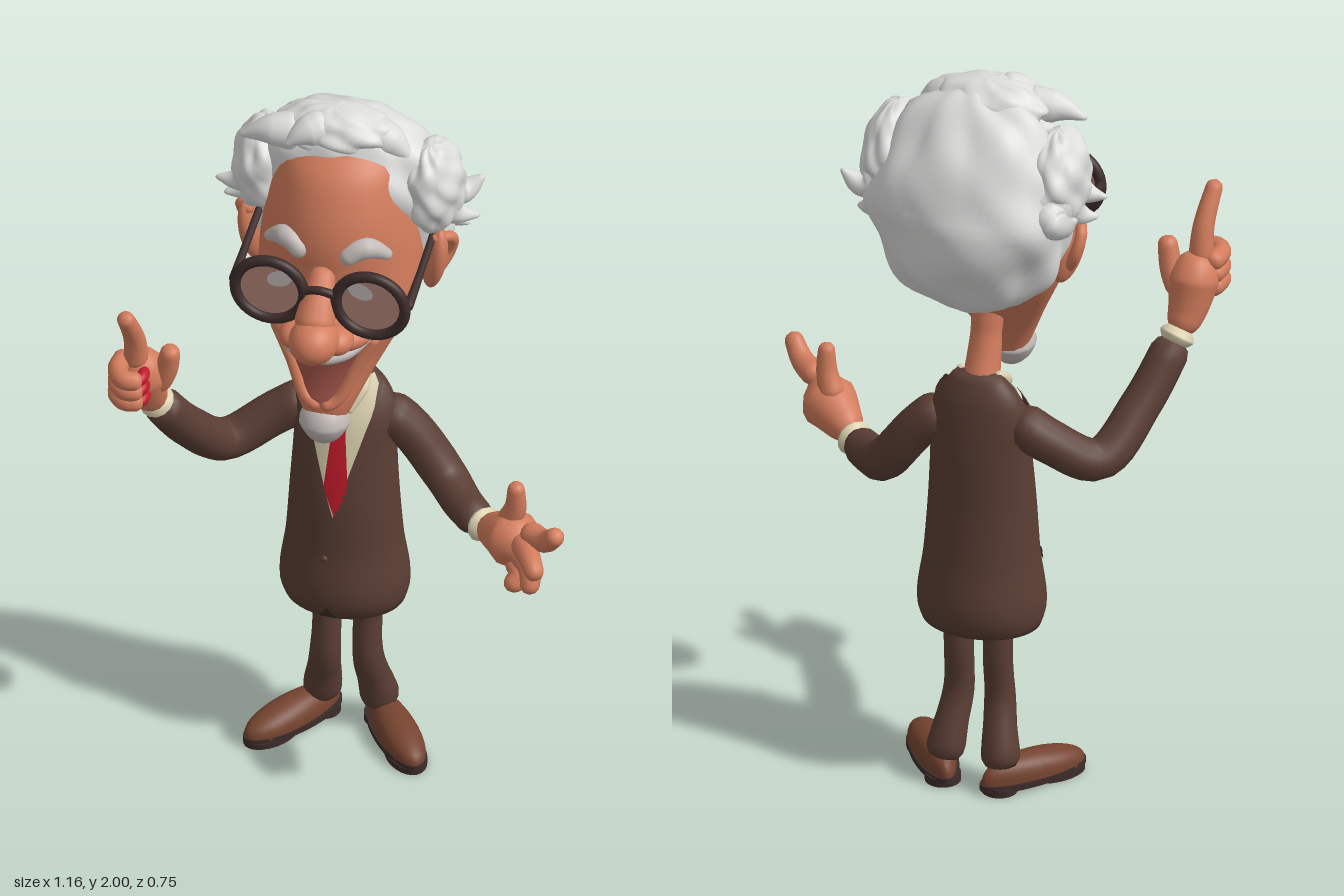
import * as THREE from 'three';
import { mergeVertices } from 'three/addons/utils/BufferGeometryUtils.js';

const mat = (name, color, side = THREE.FrontSide) => {
  const m = new THREE.MeshStandardMaterial({ color, side });
  m.name = name;
  return m;
};

export function createModel() {
  const model = new THREE.Group();
  model.name = 'oldGentleman';
  const D = THREE.DoubleSide;
  const suit = mat('brownSuit', 0x5a3e34, D), skin = mat('skin', 0xd27c5c), hair = mat('whiteHair', 0xdcdcdb, D);
  const leather = mat('shoeLeather', 0x764430), dark = mat('darkFrame', 0x3c2c2a), cream = mat('creamShirt', 0xd9cfae, D);
  const red = mat('red', 0xc01a2a, D), mouthRed = mat('mouthInside', 0xa4564a, D), lens = mat('tintedLens', 0xae8173, D);
  const whisker = mat('greyWhiskers', 0xc2bab7, D);
  const CX = -0.07; // body centre line

  const add = (name, geo, material, parent = model) => {
    const m = new THREE.Mesh(geo, material);
    m.name = name;
    parent.add(m);
    return m;
  };
  // surface from a rule fn(u, v) -> [x, y, z]; faces u cross v
  const grid = (nu, nv, fn) => {
    const g = new THREE.PlaneGeometry(1, 1, nu, nv), p = g.attributes.position;
    for (let i = 0; i < p.count; i++) p.setXYZ(i, ...fn(p.getX(i) + 0.5, p.getY(i) + 0.5));
    g.deleteAttribute('uv');
    g.deleteAttribute('normal');
    const merged = mergeVertices(g, 1e-5);
    merged.computeVertexNormals();
    return merged;
  };
  // rows of [y, zFront, zBack, halfWidth] become a smooth section lookup
  const profile = (rows) => {
    const it = new THREE.CubicInterpolant(rows.map(r => r[0]), rows.flatMap(r => r.slice(1)), 3, new Float32Array(3));
    return (y) => {
      const [f, b, w] = it.evaluate(y);
      return { zc: (f + b) / 2, rz: (f - b) / 2, w };
    };
  };
  const loft = (name, prof, y0, y1, material) => add(name, grid(40, 40, (u, v) => {
    const y = y0 + (y1 - y0) * THREE.MathUtils.clamp((v * 40 - 1) / 38, 0, 1);
    const s = prof(y), k = v < 0.001 || v > 0.999 ? 0 : 1, a = (u - 0.5) * 2 * Math.PI;
    return [CX + k * s.w * Math.sin(a), y, s.zc + k * s.rz * Math.cos(a)];
  }), material);
  // thin piece lying on the front of a lofted body
  const patch = (name, prof, y0, y1, left, right, off, material) => add(name, grid(16, 16, (u, v) => {
    const y = y0 + (y1 - y0) * v, s = prof(y);
    const dx = THREE.MathUtils.clamp(left(y) + (right(y) - left(y)) * u, -s.w * 0.97, s.w * 0.97);
    const a = Math.asin(dx / s.w);
    return [CX + dx + off * Math.sin(a), y, s.zc + (s.rz + off) * Math.cos(a)];
  }), material);
  // round-ended limb with changing thickness
  const limb = (name, pts, radii, material, parent) => {
    const curve = new THREE.CatmullRomCurve3(pts.map(p => new THREE.Vector3(...p)));
    const n = 28, fr = curve.computeFrenetFrames(n), len = curve.getLength();
    return add(name, grid(14, n, (u, v) => {
      const i = Math.round(v * n), c = curve.getPointAt(i / n), a = u * 2 * Math.PI;
      const f = v * (radii.length - 1), k = Math.min(Math.floor(f), radii.length - 2);
      let r = THREE.MathUtils.lerp(radii[k], radii[k + 1], f - k);
      const d = Math.min(v, 1 - v) * len;
      if (d < r) r *= Math.sqrt(Math.max(0, 1 - (1 - d / r) ** 2));
      c.addScaledVector(fr.normals[i], r * Math.cos(a)).addScaledVector(fr.binormals[i], r * Math.sin(a));
      return [c.x, c.y, c.z];
    }), material, parent);
  };
  const ball = (name, c, r, material, parent) => {
    const m = add(name, new THREE.SphereGeometry(1, 28, 20), material, parent);
    m.position.set(...c);
    m.scale.set(...r);
    return m;
  };

  // jacket, shirt and tie
  const torso = profile([[0.45, 0.015, -0.235, 0.155], [0.49, 0.035, -0.252, 0.166], [0.65, 0.022, -0.235, 0.15],
    [0.8, 0.01, -0.22, 0.14], [0.95, -0.015, -0.212, 0.132], [1.05, -0.04, -0.2, 0.13], [1.11, -0.07, -0.188, 0.105], [1.165, -0.095, -0.165, 0.06]]);
  loft('jacket', torso, 0.45, 1.165, suit);
  const vee = y => 0.085 * Math.min(1, Math.max(0, (y - 0.77) / 0.3));
  patch('shirtFront', torso, 0.77, 1.15, y => -vee(y), vee, 0.004, cream);
  const tieWidth = y => y > 1.03 ? 0.019 : y < 0.86 ? (y - 0.775) * 0.34 : 0.029 - (y - 0.86) * 0.08;
  patch('tie', torso, 0.78, 1.07, y => -tieWidth(y) + 0.006, y => tieWidth(y) + 0.006, 0.011, red);
  for (const s of [-1, 1]) {
    const wide = y => vee(y) + 0.045 * Math.sin(Math.PI * THREE.MathUtils.clamp((y - 0.77) / 0.42, 0, 1)) ** 0.7;
    patch('lapel', torso, 0.77, 1.13, y => s < 0 ? -wide(y) : vee(y), y => s < 0 ? -vee(y) : wide(y), 0.011, suit);
    patch('pocketFlap', torso, 0.595, 0.63, () => s < 0 ? -0.125 : 0.055, () => s < 0 ? -0.055 : 0.125, 0.008, suit);
    limb('shirtCollar', [[CX + s * 0.05, 1.165, -0.13], [CX + s * 0.055, 1.13, -0.08], [CX + s * 0.025, 1.07, -0.035]], [0.012, 0.016, 0.01], cream);
  }
  const notch = y => 0.024 * Math.max(0, (0.5 - y) / 0.045);
  patch('jacketVent', torso, 0.455, 0.5, y => -0.01 - notch(y), y => -0.01 + notch(y), 0.003, dark);
  ball('jacketButton', [CX - 0.02, 0.64, torso(0.64).zc + torso(0.64).rz], [0.009, 0.009, 0.006], suit);

  // legs and turned-out shoes
  for (const s of [-1, 1]) {
    const X = d => CX + s * d;
    limb('trouserLeg', [[X(0.06), 0.53, -0.12], [X(0.053), 0.38, -0.133], [X(0.056), 0.24, -0.125], [X(0.068), 0.14, -0.155], [X(0.08), 0.05, -0.178]],
      [0.046, 0.038, 0.038, 0.043, 0.055], suit);
    const shoe = new THREE.Group();
    shoe.name = 'shoe';
    shoe.position.set(X(0.135), 0, -0.1);
    shoe.rotation.y = s * 0.62;
    model.add(shoe);
    const g = new THREE.SphereGeometry(1, 32, 24), p = g.attributes.position;
    for (let i = 0; i < p.count; i++) {
      const z = p.getZ(i), y = Math.max(0, p.getY(i));
      p.setXYZ(i, p.getX(i) * (0.052 + 0.008 * z), 0.022 + y ** 0.7 * (0.064 - 0.01 * z), z * 0.152);
    }
    g.computeVertexNormals();
    add('shoeUpper', g, leather, shoe);
    const sole = add('shoeSole', new THREE.CylinderGeometry(1, 1, 0.016, 32), dark, shoe);
    sole.position.set(0, 0.02, 0);
    sole.scale.set(0.056, 1, 0.156);
    const heel = add('shoeHeel', new THREE.CylinderGeometry(0.046, 0.046, 0.022, 24), dark, shoe);
    heel.position.set(0, 0.011, -0.1);
    const toe = add('soleFront', new THREE.CylinderGeometry(1, 1, 0.016, 24), dark, shoe);
    toe.position.set(0, 0.008, 0.07);
    toe.scale.set(0.05, 1, 0.082);
  }

  // raised right arm with pointing hand
  limb('rightSleeve', [[-0.15, 1.05, -0.12], [-0.25, 0.985, -0.1], [-0.36, 0.925, -0.04], [-0.43, 1.04, 0.08], [-0.485, 1.19, 0.185]],
    [0.06, 0.056, 0.055, 0.052, 0.05], suit);
  limb('rightCuff', [[-0.475, 1.165, 0.17], [-0.492, 1.215, 0.203]], [0.052, 0.05], cream);
  const rh = new THREE.Group();
  rh.name = 'rightHand';
  model.add(rh);
  limb('rightPalm', [[-0.485, 1.19, 0.19], [-0.497, 1.25, 0.225], [-0.505, 1.34, 0.255], [-0.508, 1.4, 0.265]], [0.036, 0.052, 0.066, 0.048], skin, rh);
  limb('pointingFinger', [[-0.515, 1.36, 0.27], [-0.515, 1.46, 0.29], [-0.528, 1.57, 0.345]], [0.034, 0.027, 0.021], skin, rh);
  limb('rightThumb', [[-0.48, 1.28, 0.24], [-0.445, 1.34, 0.25], [-0.425, 1.43, 0.262]], [0.038, 0.03, 0.024], skin, rh);
  for (let i = 0; i < 3; i++) {
    const y = 1.375 - i * 0.037, dz = -i * 0.005;
    limb('curledFinger', [[-0.545, y, 0.25], [-0.55, y, 0.32], [-0.525, y - 0.004, 0.352 + dz], [-0.478, y - 0.006, 0.342 + dz]], [0.027, 0.026, 0.026, 0.024], skin, rh);
    ball('fingerInnerSide', [-0.484, y - 0.006, 0.322 + dz], [0.016, 0.018, 0.032], red, rh);
  }

  // lowered left arm with open hand
  limb('leftSleeve', [[0.01, 1.05, -0.12], [0.09, 0.98, -0.135], [0.19, 0.855, -0.12], [0.25, 0.825, -0.06], [0.32, 0.82, 0.01]],
    [0.06, 0.056, 0.056, 0.052, 0.048], suit);
  limb('leftCuff', [[0.3, 0.82, -0.01], [0.345, 0.824, 0.027]], [0.055, 0.053], cream);
  const lh = new THREE.Group();
  lh.name = 'leftHand';
  model.add(lh);
  limb('leftPalm', [[0.325, 0.82, 0.015], [0.37, 0.84, 0.05], [0.43, 0.862, 0.1], [0.475, 0.865, 0.14]], [0.036, 0.055, 0.075, 0.055], skin, lh);
  limb('leftThumb', [[0.4, 0.88, 0.07], [0.425, 0.95, 0.082], [0.43, 1.035, 0.09]], [0.037, 0.028, 0.02], skin, lh);
  const tips = [[0.57, 0.98, 0.2], [0.525, 0.86, 0.248], [0.497, 0.785, 0.215], [0.43, 0.76, 0.18]];
  tips.forEach(([x, y, z], i) => limb('leftFinger',
    [[0.46 - i * 0.012, 0.91 - i * 0.03, 0.115], [(0.48 + x) / 2, 0.925 - i * 0.043, z - 0.035], [x, y, z]], [0.034, 0.03, 0.023], skin, lh));

  // head, neck and ears
  const face = profile([[1.12, 0.115, 0.04, 0.04], [1.2, 0.135, 0.0, 0.075], [1.28, 0.125, -0.06, 0.112], [1.35, 0.125, -0.13, 0.148], [1.42, 0.14, -0.2, 0.182],
    [1.5, 0.13, -0.26, 0.208], [1.6, 0.118, -0.3, 0.21], [1.7, 0.115, -0.3, 0.196], [1.8, 0.085, -0.29, 0.175], [1.88, 0.035, -0.24, 0.142], [1.92, -0.02, -0.18, 0.09]]);
  loft('head', face, 1.12, 1.92, skin);
  limb('neck', [[CX, 1.1, -0.125], [CX, 1.22, -0.085], [CX, 1.42, -0.05]], [0.05, 0.04, 0.05], skin);
  for (const s of [-1, 1]) {
    const ear = ball('ear', [CX + s * 0.235, 1.56, -0.105], [0.03, 0.102, 0.05], skin);
    ear.rotation.set(0.2, s * 0.4, -s * 0.2);
    limb('earRim', [[CX + s * 0.225, 1.49, -0.1], [CX + s * 0.265, 1.56, -0.14], [CX + s * 0.275, 1.62, -0.12], [CX + s * 0.235, 1.64, -0.07]], [0.016, 0.016, 0.015, 0.012], skin);
    ball('cheek', [CX + s * 0.1, 1.475, 0.05], [0.075, 0.085, 0.07], skin);
    ball('nostril', [CX + s * 0.055, 1.468, 0.175], [0.042, 0.036, 0.05], skin);
    limb('eyebrow', [[CX + s * 0.165, 1.665, 0.05], [CX + s * 0.1, 1.7, 0.082], [CX + s * 0.045, 1.665, 0.106]], [0.012, 0.03, 0.025], whisker);
    limb('mouthSide', [[CX + s * 0.135, 1.43, 0.09], [CX + s * 0.088, 1.34, 0.1], [CX + s * 0.04, 1.235, 0.125], [CX, 1.215, 0.14]], [0.012, 0.017, 0.017, 0.017], skin);
  }
  limb('noseBridge', [[CX, 1.64, 0.1], [CX, 1.56, 0.165], [CX, 1.49, 0.215]], [0.03, 0.045, 0.06], skin);
  ball('noseTip', [CX + 0.005, 1.488, 0.218], [0.064, 0.06, 0.073], skin);
  ball('upperLip', [CX, 1.45, 0.11], [0.13, 0.048, 0.088], skin);

  // open smile, moustache and goatee
  const grin = y => 0.02 + 0.085 * ((y - 1.22) / 0.2);
  patch('mouth', face, 1.22, 1.42, y => -grin(y), grin, 0.005, mouthRed);
  const tongue = y => 0.045 * Math.sqrt(Math.max(0, Math.sin(Math.PI * (y - 1.23) / 0.16)));
  patch('tongue', face, 1.23, 1.39, y => -tongue(y), tongue, 0.011, mouthRed);
  limb('moustache', [[CX - 0.125, 1.435, 0.095], [CX - 0.07, 1.41, 0.158], [CX, 1.402, 0.182], [CX + 0.07, 1.41, 0.158], [CX + 0.125, 1.435, 0.095]], [0.008, 0.015, 0.016, 0.015, 0.008], whisker);
  limb('goatee', [[CX, 1.205, 0.082], [CX, 1.15, 0.092], [CX, 1.078, 0.095]], [0.06, 0.066, 0.045], whisker);

  // round glasses
  for (const s of [-1, 1]) {
    const x = -0.062 + s * 0.132;
    add('glassesRim', new THREE.TorusGeometry(0.09, 0.0145, 12, 40), dark).position.set(x, 1.588, 0.168);
    add('lens', new THREE.CircleGeometry(0.08, 32), lens).position.set(x, 1.588, 0.166);
    const glint = add('paleGlint', new THREE.CircleGeometry(1, 24), whisker);
    glint.position.set(x - s * 0.026, 1.628, 0.17);
    glint.scale.set(0.034, 0.024, 1);
    glint.rotation.z = -s * 0.4;
    limb('glassesArm', [[x + s * 0.096, 1.595, 0.17], [x + s * 0.096, 1.612, 0.06], [x + s * 0.094, 1.64, -0.1]], [0.013, 0.01, 0.01], dark);
  }
  limb('glassesBridge', [[-0.11, 1.6, 0.168], [-0.062, 1.615, 0.175], [-0.014, 1.6, 0.168]], [0.012, 0.011, 0.012], dark);

  // swept-back hair with wavy locks, leaning forward above its middle
  const lock = (name, c, r, lean, amp, seed) => add(name, grid(72, 48, (u, v) => {
    const a = (u - 0.5) * 2 * Math.PI, b = (v - 0.5) * Math.PI;
    const ring = v < 0.001 || v > 0.999 ? 0 : Math.cos(b);
    const wave = Math.abs(Math.sin(a * 4 + b * 2.5 + seed + 0.6 * Math.sin(b * 5))) * 0.55
      + Math.sin(a * 3 - b * 7 + seed * 2) * 0.35 + Math.sin(a * 7 + b * 9) * 0.2 - 0.3;
    const k = 1 + amp * wave * ring;
    const y = r[1] * Math.sin(b) * k;
    return [c[0] + r[0] * ring * Math.sin(a) * k, c[1] + y, c[2] + r[2] * ring * Math.cos(a) * k + lean * Math.max(0, y)];
  }), hair);
  lock('hairBack', [CX, 1.685, -0.185], [0.268, 0.3, 0.182], 0.25, 0.1, 1);
  lock('hairSideRight', [-0.285, 1.765, -0.135], [0.08, 0.135, 0.115], 0.15, 0.11, 2);
  lock('hairSideLeft', [0.15, 1.765, -0.145], [0.08, 0.135, 0.115], 0.15, 0.11, 3);
  lock('hairTop', [-0.085, 1.925, -0.1], [0.155, 0.075, 0.09], 0.1, 0.11, 4);
  const tufts = [
    [[-0.26, 1.8, -0.1], [-0.34, 1.72, -0.09], [-0.405, 1.715, -0.09]],
    [[-0.28, 1.74, -0.15], [-0.34, 1.67, -0.12], [-0.385, 1.66, -0.1]],
    [[-0.27, 1.72, -0.22], [-0.34, 1.7, -0.25], [-0.385, 1.73, -0.25]],
    [[-0.16, 1.92, -0.07], [-0.25, 1.925, -0.05], [-0.33, 1.9, -0.04]],
    [[0.15, 1.78, -0.13], [0.2, 1.68, -0.15], [0.265, 1.655, -0.18]],
    [[0.15, 1.75, -0.18], [0.21, 1.7, -0.22], [0.262, 1.74, -0.24]],
    [[0.14, 1.7, -0.2], [0.19, 1.63, -0.2], [0.235, 1.615, -0.19]],
    [[-0.02, 1.93, -0.1], [0.05, 1.92, -0.09], [0.12, 1.87, -0.08]],
    [[-0.1, 1.95, -0.08], [-0.16, 1.945, -0.03], [-0.2, 1.92, 0.0]],
  ];
  tufts.forEach(t => limb('hairTuft', t, [0.06, 0.042, 0.004], hair));
  return model;
}
